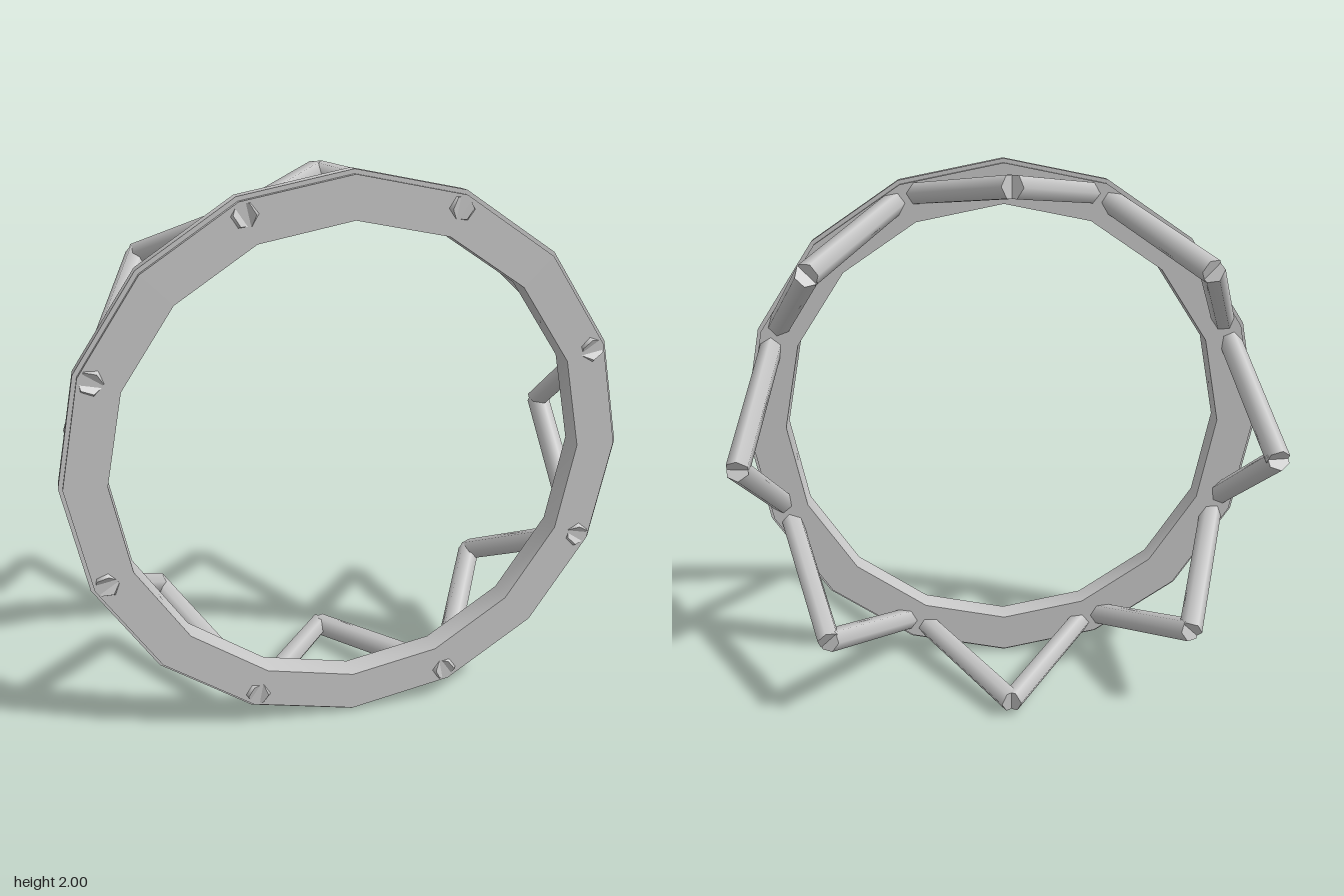
import * as THREE from 'three';
import { toCreasedNormals } from 'three/addons/utils/BufferGeometryUtils.js';

export function createModel() {
  const model = new THREE.Group();
  const metal = new THREE.MeshStandardMaterial({ color: 0xc8c8c8 });
  metal.name = 'light grey metal';

  // Flat sixteen-sided band, vertices on the axes
  const SIDES = 16;
  const polygon = (r) => Array.from({ length: SIDES }, (_, i) => {
    const a = (i / SIDES) * Math.PI * 2;
    return new THREE.Vector2(r * Math.cos(a), r * Math.sin(a));
  });
  function band(name, outer, inner, z0, z1) {
    const shape = new THREE.Shape(polygon(outer));
    shape.holes.push(new THREE.Path(polygon(inner)));
    const geo = new THREE.ExtrudeGeometry(shape, { depth: z1 - z0, bevelEnabled: false });
    const mesh = new THREE.Mesh(toCreasedNormals(geo, 0.6), metal);
    mesh.name = name;
    mesh.position.set(0, 1, z0);
    model.add(mesh);
  }
  band('ring', 0.985, 0.84, 0.19, 0.287);
  band('raisedRim', 1, 0.9, 0.213, 0.266);

  // Zigzag of struts: feet pass through the ring, tips meet behind it
  const R = 0.94, STRUT_RADIUS = 0.043, STRUT_SIDES = 6;
  const joint = (i) => {
    const a = (i / 16) * Math.PI * 2;
    return new THREE.Vector3(R * Math.cos(a), 1 + R * Math.sin(a), i % 2 ? 0.279 : -0.283);
  };
  const zigzag = new THREE.Group();
  zigzag.name = 'zigzagStruts';
  const up = new THREE.Vector3(0, 1, 0);
  for (let i = 0; i < 16; i++) {
    const start = joint(i), end = joint(i + 1);
    const axis = end.clone().sub(start);
    const geo = new THREE.CylinderGeometry(STRUT_RADIUS, STRUT_RADIUS, axis.length(), STRUT_SIDES);
    const strut = new THREE.Mesh(geo, metal);
    strut.name = 'strut';
    strut.position.copy(start).add(end).multiplyScalar(0.5);
    strut.quaternion.setFromUnitVectors(up, axis.normalize());
    zigzag.add(strut);
  }
  model.add(zigzag);
  return model;
}
